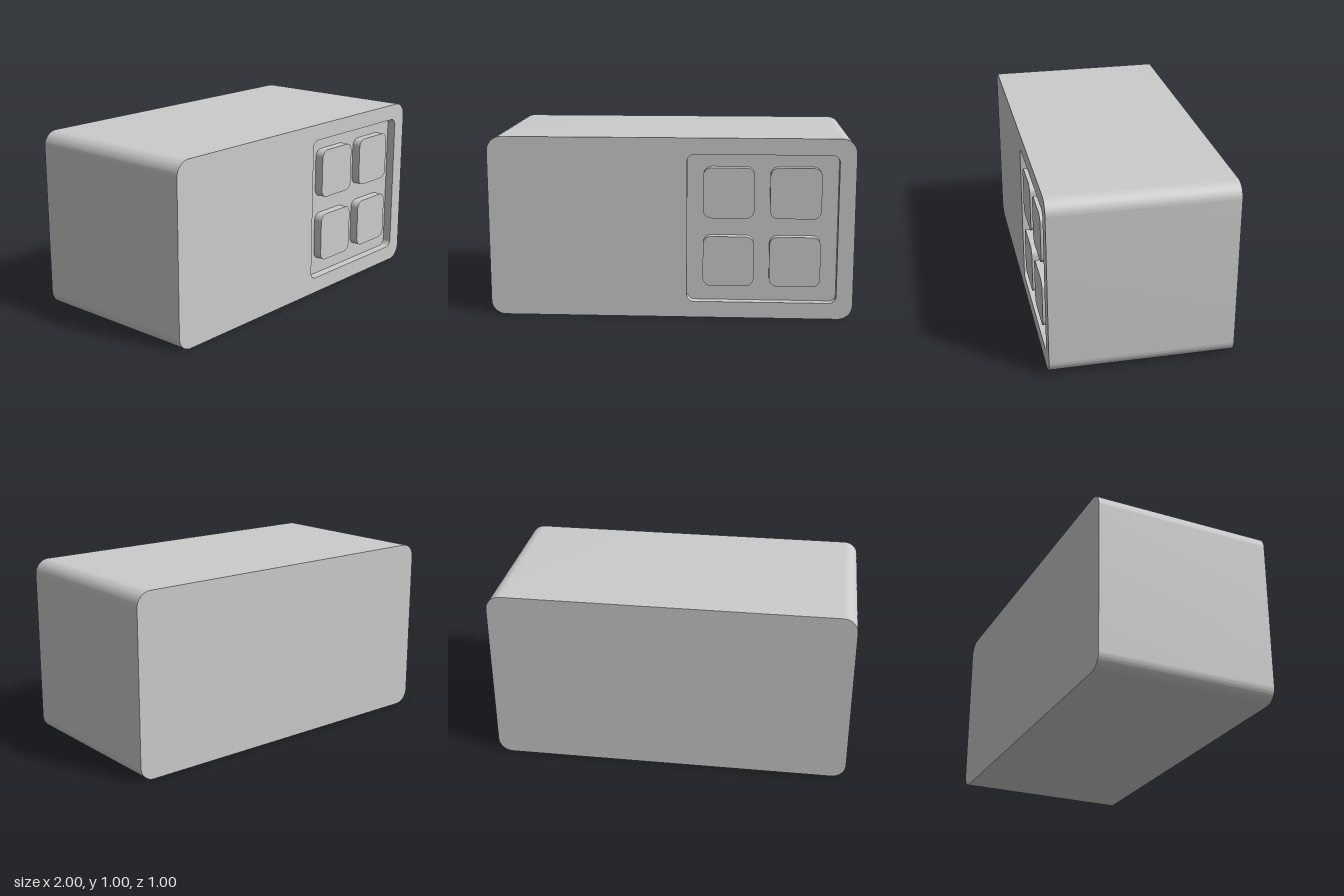
import * as THREE from 'three';
import { mergeGeometries, toCreasedNormals } from 'three/addons/utils/BufferGeometryUtils.js';

const FRONT = 0.5, BACK = -0.5, FLOOR = 0.45;
const SEGMENTS = 10; // per rounded corner

// Counter-clockwise rounded square or rectangle, centred on (cx, cy)
function roundedRect(cx, cy, w, h, r) {
  const x = w / 2 - r, y = h / 2 - r, q = Math.PI / 2;
  const shape = new THREE.Shape();
  [[x, -y], [x, y], [-x, y], [-x, -y]].forEach(([dx, dy], i) =>
    shape.absarc(cx + dx, cy + dy, r, (i - 1) * q, i * q, false));
  return shape.closePath();
}

// Flat face at depth z, looking forward
function face(shape, z) {
  const geometry = new THREE.ShapeGeometry(shape, SEGMENTS).translate(0, 0, z).toNonIndexed();
  geometry.deleteAttribute('uv');
  return geometry;
}

// Strip along an outline; it faces outward when z0 < z1, inward otherwise
function wall(shape, z0, z1) {
  const points = shape.getPoints(SEGMENTS);
  const position = [];
  for (let i = 0; i < points.length - 1; i++) {
    const a = points[i], b = points[i + 1];
    if (a.distanceTo(b) < 1e-6) continue;
    position.push(a.x, a.y, z0, b.x, b.y, z0, b.x, b.y, z1);
    position.push(a.x, a.y, z0, b.x, b.y, z1, a.x, a.y, z1);
  }
  const geometry = new THREE.BufferGeometry();
  geometry.setAttribute('position', new THREE.Float32BufferAttribute(position, 3));
  geometry.computeVertexNormals();
  return geometry;
}

export function createModel() {
  const group = new THREE.Group();
  const material = new THREE.MeshStandardMaterial({ color: 0xcccccc });
  const add = (name, parts) => {
    const mesh = new THREE.Mesh(toCreasedNormals(mergeGeometries(parts), Math.PI / 4), material);
    mesh.name = name;
    group.add(mesh);
  };

  // Housing with a square opening in its front
  const opening = roundedRect(0.5, 0.5, 0.82, 0.82, 0.04);
  const outline = roundedRect(0, 0.5, 2, 1, 0.08);
  const front = outline.clone();
  front.holes.push(opening);
  add('housing', [
    face(front, FRONT),
    face(outline, FRONT).rotateY(Math.PI),
    wall(outline, BACK, FRONT),
  ]);

  // Shallow recess behind the opening
  add('buttonRecess', [face(opening, FLOOR), wall(opening, FRONT, FLOOR)]);

  // Four buttons, flush with the front
  for (const y of [0.7, 0.32]) {
    for (const x of [0.317, 0.68]) {
      const button = roundedRect(x, y, 0.278, 0.278, 0.045);
      add('button', [face(button, FRONT), wall(button, FLOOR, FRONT)]);
    }
  }
  return group;
}
